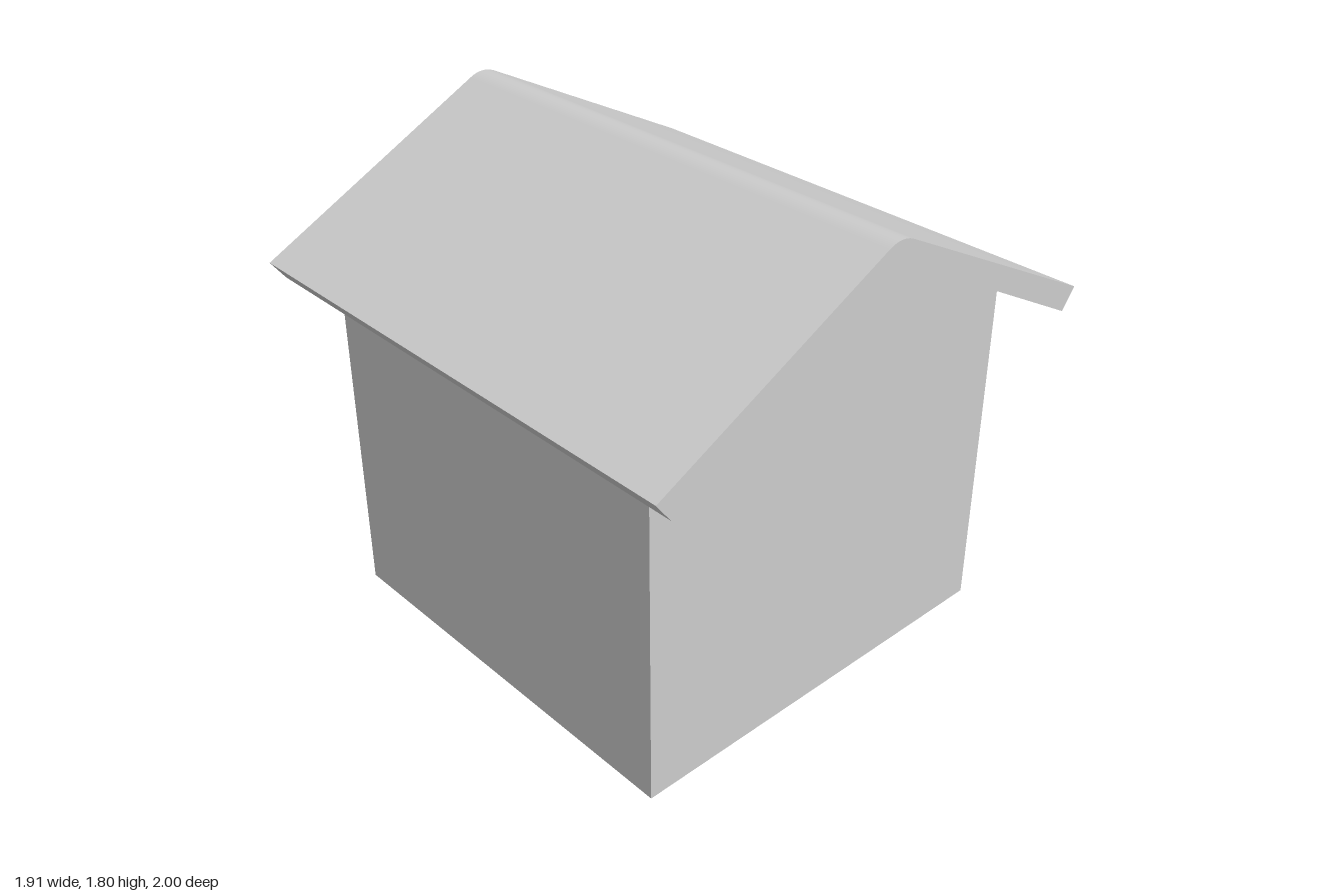
import * as THREE from 'three';
import { toCreasedNormals } from 'three/addons/utils/BufferGeometryUtils.js';

// Extrude a front-facing outline along z, centred on z = 0
function extrudeCentred(name, shape, depth, material) {
  const geometry = new THREE.ExtrudeGeometry(shape, { depth, bevelEnabled: false, curveSegments: 12 });
  geometry.translate(0, 0, -depth / 2);
  const mesh = new THREE.Mesh(toCreasedNormals(geometry, Math.PI / 6), material);
  mesh.name = name;
  return mesh;
}

export function createModel() {
  const group = new THREE.Group();
  group.name = 'house';
  const material = new THREE.MeshStandardMaterial({ color: 0xcccccc });

  const apex = 1.73;              // underside of the ridge
  const eave = [0.9, 1.25];       // lower edge of the eave
  const slope = (apex - eave[1]) / eave[0];
  const wall = 0.8;               // half width and half depth of the walls

  // Walls: one solid with a gable front and back
  const walls = new THREE.Shape();
  walls.moveTo(-wall, 0);
  walls.lineTo(wall, 0);
  walls.lineTo(wall, apex - slope * wall);
  walls.lineTo(0, apex);
  walls.lineTo(-wall, apex - slope * wall);
  walls.closePath();
  group.add(extrudeCentred('walls', walls, wall * 2, material));

  // Roof: a folded slab with a rounded ridge and overhanging eaves
  const roof = new THREE.Shape();
  roof.moveTo(0, apex);
  roof.lineTo(eave[0], eave[1]);
  roof.lineTo(0.955, 1.325);
  roof.lineTo(0.055, 1.785);
  roof.quadraticCurveTo(0, 1.813, -0.055, 1.785);
  roof.lineTo(-0.955, 1.325);
  roof.lineTo(-eave[0], eave[1]);
  roof.closePath();
  group.add(extrudeCentred('roof', roof, 2, material));

  return group;
}
